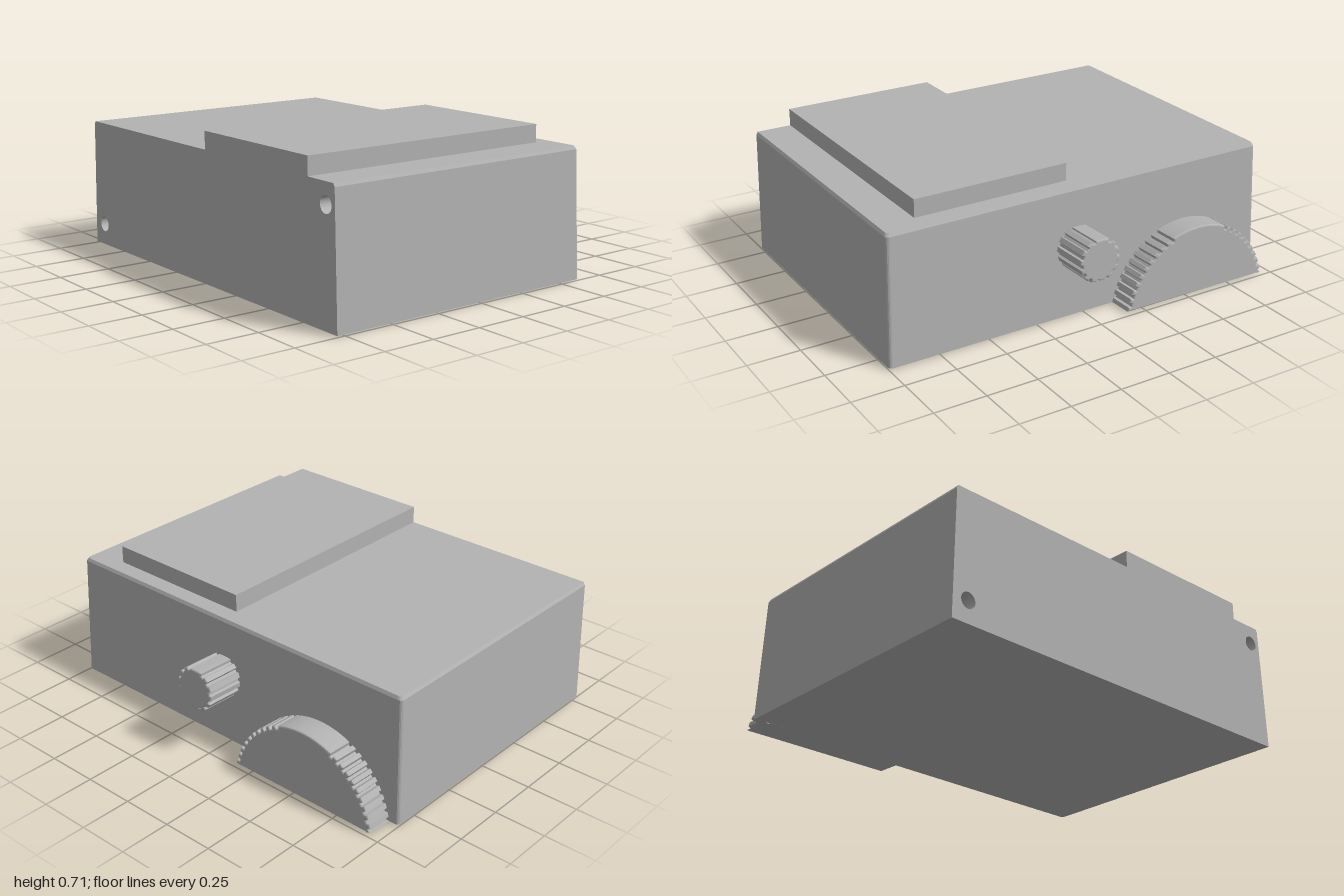
import * as THREE from 'three';

const FRONT = 0.79;

// Horizontal section of the tapered shell, with rounded rear corners.
function section(y, halfWidth, back, r = 0.018) {
  const pts = [[-halfWidth, y, FRONT], [halfWidth, y, FRONT]];
  for (const side of [1, -1]) {
    for (let i = 0; i <= 4; i++) {
      const a = (side > 0 ? i : 4 - i) / 4 * Math.PI / 2;
      pts.push([side * (halfWidth - r + r * Math.cos(a)), y, back + r - r * Math.sin(a)]);
    }
  }
  return pts;
}

// Sides, back, top and bottom; the front is a separate pierced face.
function shellGeometry(levels) {
  const v = [];
  const tri = (a, b, c) => v.push(...a, ...b, ...c);
  const n = levels[0].length;
  for (let k = 0; k < levels.length - 1; k++) {
    const lo = levels[k], hi = levels[k + 1];
    for (let i = 1; i < n; i++) {
      const j = (i + 1) % n;
      tri(lo[i], lo[j], hi[j]);
      tri(lo[i], hi[j], hi[i]);
    }
  }
  const bottom = levels[0], top = levels[levels.length - 1];
  for (let i = 1; i < n - 1; i++) {
    tri(top[0], top[i], top[i + 1]);
    tri(bottom[0], bottom[i + 1], bottom[i]);
  }
  const g = new THREE.BufferGeometry();
  g.setAttribute('position', new THREE.Float32BufferAttribute(v, 3));
  g.computeVertexNormals();
  return g;
}

// Notched rim from angle a0 to a1, plain within `flat` radians of the top.
function rimPoints(radius, depth, teeth, a0, a1, flat) {
  const pts = [];
  const step = (a1 - a0) / teeth;
  const put = (r, a) => pts.push(new THREE.Vector2(r * Math.cos(a), r * Math.sin(a)));
  for (let i = 0; i < teeth; i++) {
    const a = a0 + i * step;
    const plain = Math.abs(a + step / 2 - Math.PI / 2) < flat;
    const low = plain ? radius : radius - depth;
    put(radius, a);
    put(radius, a + step * 0.5);
    put(low, a + step * 0.6);
    put(low, a + step * 0.9);
  }
  return pts;
}

export function createModel() {
  const model = new THREE.Group();
  const grey = new THREE.MeshStandardMaterial({ color: 0xb2b2b2 });
  const add = (name, geometry, parent = model) => {
    const mesh = new THREE.Mesh(geometry, grey);
    mesh.name = name;
    parent.add(mesh);
    return mesh;
  };

  // Tapered housing with a small chamfer round the top
  add('housing', shellGeometry([
    section(0, 1, -0.61),
    section(0.605, 0.983, -0.593),
    section(0.62, 0.975, -0.585),
  ]));

  // Front face, including the end of the raised panel and two screw holes
  const face = new THREE.Shape([
    [-1, 0], [1, 0], [0.983, 0.605], [0.975, 0.62], [0.805, 0.62], [0.805, 0.705],
    [0.04, 0.705], [0.04, 0.62], [-0.975, 0.62], [-0.983, 0.605],
  ].map(([x, y]) => new THREE.Vector2(x, y)));
  const holeRadius = 0.038, holeDepth = 0.15;
  const holes = [[-0.915, 0.105], [0.925, 0.525]];
  for (const [x, y] of holes) {
    face.holes.push(new THREE.Path().absarc(x, y, holeRadius, 0, Math.PI * 2, true));
  }
  add('frontFace', new THREE.ShapeGeometry(face, 24)).position.z = FRONT;

  // Blind hole walls and floors, facing inwards
  for (const [x, y] of holes) {
    const wall = new THREE.CylinderGeometry(holeRadius, holeRadius, holeDepth, 48, 1, true);
    wall.rotateX(Math.PI / 2).scale(-1, 1, 1);
    const index = wall.index.array;
    // Mirroring has turned the faces inwards; turn the normals to match
    const normal = wall.attributes.normal;
    for (let i = 0; i < normal.count; i++) {
      normal.setXYZ(i, -normal.getX(i), -normal.getY(i), -normal.getZ(i));
    }
    wall.setIndex(Array.from(index));
    add('holeWall', wall).position.set(x, y, FRONT - holeDepth / 2);
    add('holeFloor', new THREE.CircleGeometry(holeRadius, 48)).position.set(x, y, FRONT - holeDepth);
  }

  // Raised panel on top, its end covered by the front face
  const panelDepth = FRONT - 0.001 + 0.505;
  add('raisedPanel', new THREE.BoxGeometry(0.765, 0.1, panelDepth))
    .position.set(0.4225, 0.655, -0.505 + panelDepth / 2);

  // Controls on the sloping back
  const control = (name, points, length, x, y, z) => {
    const bevel = 0.007;
    const g = new THREE.ExtrudeGeometry(new THREE.Shape(points), {
      depth: length, bevelEnabled: true, bevelSize: bevel, bevelThickness: bevel,
      bevelOffset: -bevel, bevelSegments: 2, steps: 1,
    });
    g.translate(0, 0, -length + 0.02);
    const mesh = add(name, g);
    mesh.position.set(x, y, z);
    mesh.rotation.x = 0.028;
  };

  // Half-sunk thumb wheel, cut level with the base
  const sink = 0.07, wheelRadius = 0.401;
  const a0 = Math.asin(sink / wheelRadius);
  const wheel = rimPoints(wheelRadius, 0.016, 27, a0, Math.PI - a0, 0.36);
  wheel.push(new THREE.Vector2(wheelRadius * Math.cos(Math.PI - a0), sink));
  wheel.forEach((p) => { p.y = Math.max(0, p.y - sink); });
  control('thumbWheel', wheel, 0.14, -0.555, 0, -0.608);

  // Small ribbed knob with flattened top and bottom
  const knob = rimPoints(0.106, 0.012, 14, 0, Math.PI * 2, 0.4);
  knob.forEach((p) => { p.y = THREE.MathUtils.clamp(p.y, -0.098, 0.098); });
  control('knob', knob, 0.2, 0.04, 0.334, -0.6);

  return model;
}
